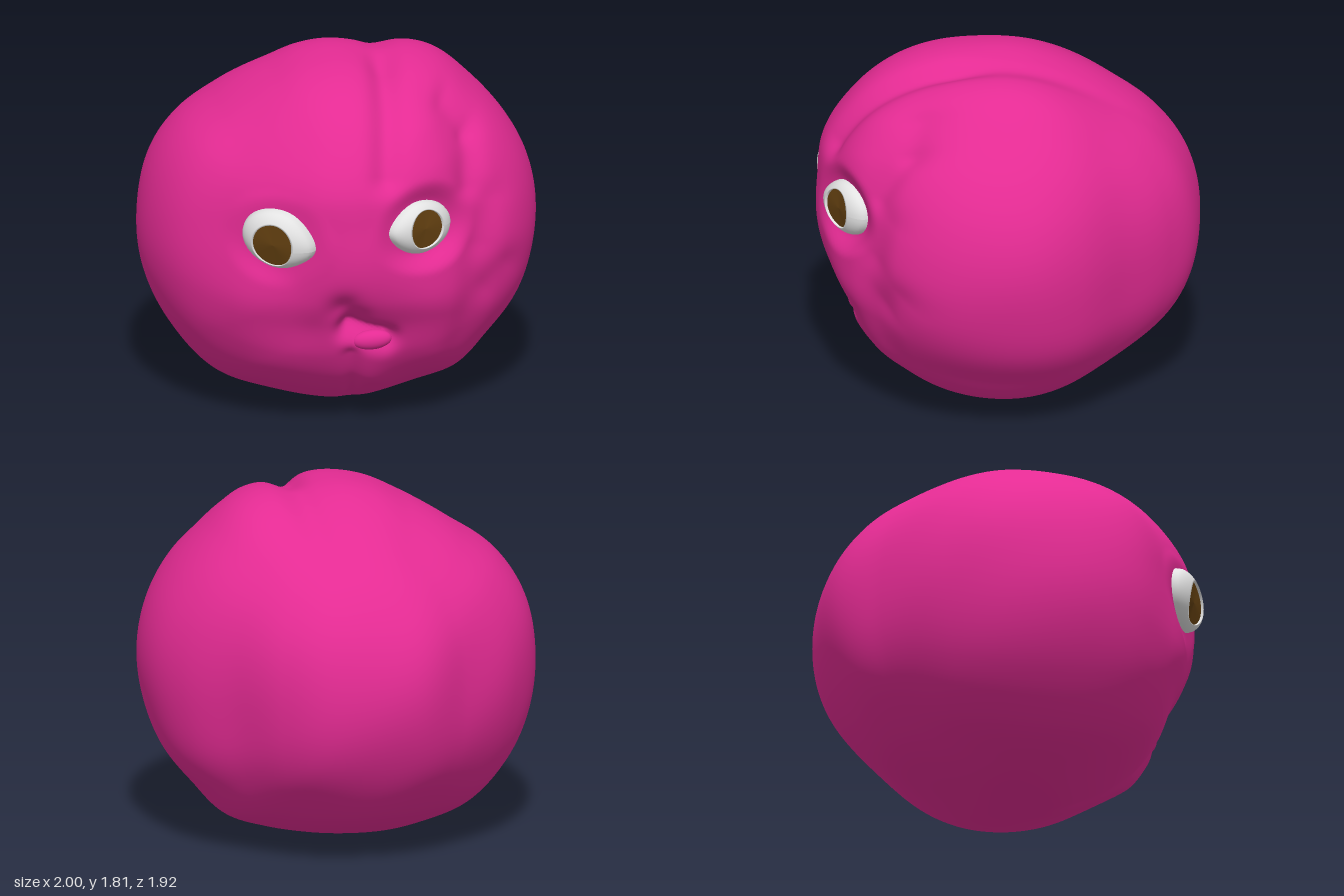
import * as THREE from 'three';
import { mergeVertices } from 'three/addons/utils/BufferGeometryUtils.js';

const CENTER_Y = 0.9;
const { smoothstep } = THREE.MathUtils;

// Turns outline points into a smooth closed radius-by-angle function
function outline(points, offsetY) {
  const pts = points
    .map(([a, b]) => [Math.atan2(b - offsetY, a), Math.hypot(a, b - offsetY)])
    .sort((p, q) => p[0] - q[0]);
  const n = pts.length;
  const at = (i) => {
    const turns = Math.floor(i / n);
    const [angle, r] = pts[i - turns * n];
    return [angle + turns * Math.PI * 2, r];
  };
  const slope = (i) => {
    const a = at(i - 1), b = at(i + 1);
    return (b[1] - a[1]) / (b[0] - a[0]);
  };
  return (angle) => {
    let i = -1;
    while (at(i + 1)[0] <= angle) i++;
    const [a0, r0] = at(i), [a1, r1] = at(i + 1);
    const h = a1 - a0, t = (angle - a0) / h, t2 = t * t, t3 = t2 * t;
    return (2 * t3 - 3 * t2 + 1) * r0 + (t3 - 2 * t2 + t) * h * slope(i)
      + (3 * t2 - 2 * t3) * r1 + (t3 - t2) * h * slope(i + 1);
  };
}

// Outlines of the body: x/y, z/y and x/z
const frontOutline = outline([
  [-0.03, 1.81], [0.1, 1.785], [0.2, 1.75], [0.35, 1.79], [0.5, 1.75], [0.68, 1.6], [0.85, 1.4],
  [0.95, 1.2], [1, 0.95], [0.96, 0.7], [0.88, 0.48], [0.75, 0.3], [0.6, 0.14], [0.4, 0.07],
  [0.2, 0.02], [-0.2, 0], [-0.4, 0.05], [-0.65, 0.15], [-0.85, 0.38], [-0.95, 0.6], [-1, 0.9],
  [-0.95, 1.18], [-0.8, 1.42], [-0.6, 1.56], [-0.35, 1.69], [-0.17, 1.78]], CENTER_Y);
const sideOutline = outline([
  [0.95, 1.3], [0.965, 1.1], [0.96, 0.9], [0.9, 0.72], [0.8, 0.57], [0.74, 0.4], [0.65, 0.25],
  [0.45, 0.09], [0.2, 0], [-0.2, 0.05], [-0.6, 0.22], [-0.87, 0.52], [-0.96, 0.85], [-0.91, 1.15],
  [-0.75, 1.4], [-0.5, 1.59], [-0.2, 1.73], [0.1, 1.81], [0.35, 1.8], [0.6, 1.7], [0.8, 1.53]], CENTER_Y);
const topOutline = outline([
  [0, -0.97], [0.25, -0.94], [0.45, -0.8], [0.65, -0.58], [0.85, -0.35], [0.97, -0.1], [1, 0.12],
  [0.95, 0.35], [0.8, 0.57], [0.62, 0.68], [0.5, 0.78], [0.2, 0.9], [0, 0.95], [-0.15, 0.92],
  [-0.3, 0.84], [-0.6, 0.7], [-0.85, 0.5], [-0.97, 0.25], [-1, 0], [-0.95, -0.25], [-0.8, -0.5],
  [-0.5, -0.76], [-0.25, -0.94]], 0);

// Folds and swellings of the face: x0, y0, x1, y1, width, height
const folds = [
  [0.21, 1.8, 0.17, 1.38, 0.08, -0.045],  // forehead crease
  [0.5, 1.62, 0.6, 1.5, 0.06, -0.025],    // brow crease
  [0.62, 1.45, 0.6, 1.25, 0.07, -0.025],
  [0.38, 1.52, 0.42, 1.4, 0.12, 0.02],    // forehead lobe
  [0.72, 1.15, 0.66, 0.95, 0.09, -0.018], // cheek folds
  [0.8, 0.78, 0.7, 0.7, 0.09, -0.018],
  [-0.48, 0.62, -0.36, 0.42, 0.24, 0.045], // cheeks
  [0.46, 0.62, 0.4, 0.42, 0.2, 0.035],
  [-0.05, 0.68, 0, 0.62, 0.08, -0.045],   // upper lip hollow
  [-0.02, 0.55, 0.17, 0.5, 0.05, -0.08],  // mouth
  [0.0, 0.4, 0.03, 0.08, 0.045, -0.025],  // chin crease
  [0.13, 0.38, 0.12, 0.28, 0.1, 0.03],    // chin
];

// Eyes: half sizes, placement, side of the inner corner and iris
const eyes = [
  { name: 'rightEye', pos: [-0.367, 1.055, 0.82], yaw: -0.5, roll: -0.2, inner: 1,
    size: [0.2, 0.152, 0.1], iris: [-0.005, -0.02, 0.108, 0.11] },
  { name: 'leftEye', pos: [0.335, 1.085, 0.8], yaw: 0.55, roll: 0, inner: -1,
    size: [0.188, 0.138, 0.09], iris: [0, 0.003, 0.098, 0.1] },
];
for (const e of eyes) {
  e.center = new THREE.Vector3(e.pos[0], e.pos[1] - CENTER_Y, e.pos[2]);
  e.quat = new THREE.Quaternion().setFromEuler(new THREE.Euler(0, e.yaw, e.roll, 'YXZ'));
  e.inverse = e.quat.clone().invert();
  e.normal = new THREE.Vector3(0, 0, 1).applyQuaternion(e.quat);
}

function distanceToSegment(x, y, [x0, y0, x1, y1]) {
  const dx = x1 - x0, dy = y1 - y0;
  const t = THREE.MathUtils.clamp(((x - x0) * dx + (y - y0) * dy) / (dx * dx + dy * dy), 0, 1);
  return Math.hypot(x - x0 - t * dx, y - y0 - t * dy);
}

// Body radius in direction d
function bodyRadius(d) {
  const weight = (n) => (1 - n * n) / (n * n + 0.07);
  const wf = weight(d.z), ws = weight(d.x), wt = weight(d.y);
  let r = (wf * frontOutline(Math.atan2(d.y, d.x)) + ws * sideOutline(Math.atan2(d.y, d.z))
    + wt * topOutline(Math.atan2(d.z, d.x))) / (wf + ws + wt);
  r += 0.006 * Math.sin(7 * d.x + 2 * d.y) * Math.sin(6 * d.y - 4 * d.z);

  const x = d.x * r, y = d.y * r + CENTER_Y, mask = smoothstep(d.z, 0, 0.35);
  for (const f of folds) {
    const s = distanceToSegment(x, y, f) / f[4];
    r += mask * f[5] * Math.exp(-s * s);
  }
  // Eye sockets: ease the skin onto the middle plane of each eye
  for (const e of eyes) {
    const facing = d.dot(e.normal);
    if (facing < 0.4) continue;
    const plane = e.center.dot(e.normal) / facing;
    const p = d.clone().multiplyScalar(plane).sub(e.center).applyQuaternion(e.inverse);
    const s = Math.hypot(p.x / e.size[0], p.y / e.size[1]);
    r += (plane - r) * (1 - smoothstep(s, 0.9, 1.7));
  }
  return r;
}

function bodyGeometry() {
  let g = new THREE.IcosahedronGeometry(1, 56);
  g.deleteAttribute('uv');
  g.deleteAttribute('normal');
  g = mergeVertices(g, 1e-4);
  const p = g.attributes.position, d = new THREE.Vector3();
  for (let i = 0; i < p.count; i++) {
    d.fromBufferAttribute(p, i).normalize();
    d.multiplyScalar(bodyRadius(d));
    p.setXYZ(i, d.x, d.y + CENTER_Y, d.z);
  }
  g.computeVertexNormals();
  return g;
}

// Domed ring of an eye (from the iris rim outwards) or the sunken iris inside it
function eyeGeometry({ size: [a, b, c], iris: [u, v, rx, ry], inner }, isIris) {
  const dome = (x, y) => c * Math.sqrt(Math.max(0, 1 - (x / a) ** 2 - (y / b) ** 2));
  const g = isIris ? new THREE.RingGeometry(0.001, 1, 48, 6) : new THREE.RingGeometry(1, 2, 48, 12);
  const p = g.attributes.position;
  for (let i = 0; i < p.count; i++) {
    const len = Math.hypot(p.getX(i), p.getY(i));
    const cos = p.getX(i) / len, sin = p.getY(i) / len;
    const rimX = u + rx * cos, rimY = v + ry * sin, rimZ = dome(rimX, rimY);
    if (isIris) {
      const z = THREE.MathUtils.lerp(c * 0.8, rimZ, len) - 0.014;
      p.setXYZ(i, u + (rimX - u) * len, v + (rimY - v) * len, z);
      continue;
    }
    // First row drops to the iris, last row sinks into the skin
    const t = THREE.MathUtils.clamp((len - 1) * 1.2 - 0.1, 0, 1);
    const pinch = 1 - 0.3 * Math.max(0, inner * cos) ** 2;
    const outX = a * cos, outY = b * sin;
    const x = THREE.MathUtils.lerp(rimX, outX, t), y = THREE.MathUtils.lerp(rimY, outY, t);
    const drop = len < 1.01 ? 0.016 : len > 1.99 ? 0.03 : 0;
    p.setXYZ(i, x, y * THREE.MathUtils.lerp(1, pinch, t), dome(x, y) - drop);
  }
  g.computeVertexNormals();
  return g;
}

export function createModel() {
  const material = (name, color) => {
    const m = new THREE.MeshStandardMaterial({ color });
    m.name = name;
    return m;
  };
  const pink = material('pink skin', 0xe42b93);
  const white = material('eye white', 0xe2e2e2);
  const brown = material('iris brown', 0x623f10);

  const model = new THREE.Group();
  model.name = 'roundCreature';
  const add = (parent, name, geometry, mat) => {
    const mesh = new THREE.Mesh(geometry, mat);
    mesh.name = name;
    parent.add(mesh);
    return mesh;
  };

  add(model, 'body', bodyGeometry(), pink);

  // Tongue resting in the mouth
  const dir = new THREE.Vector3(0.105, 0.475 - CENTER_Y, 0.76).normalize();
  const tongue = add(model, 'tongue', new THREE.SphereGeometry(1, 32, 20), pink);
  tongue.scale.set(0.1, 0.05, 0.045);
  tongue.position.copy(dir).multiplyScalar(bodyRadius(dir));
  tongue.position.y += CENTER_Y;
  tongue.rotation.z = 0.08;

  for (const e of eyes) {
    const eye = new THREE.Group();
    eye.name = e.name;
    eye.position.set(...e.pos);
    eye.quaternion.copy(e.quat);
    add(eye, 'eyeball', eyeGeometry(e, false), white);
    add(eye, 'iris', eyeGeometry(e, true), brown);
    model.add(eye);
  }
  return model;
}
